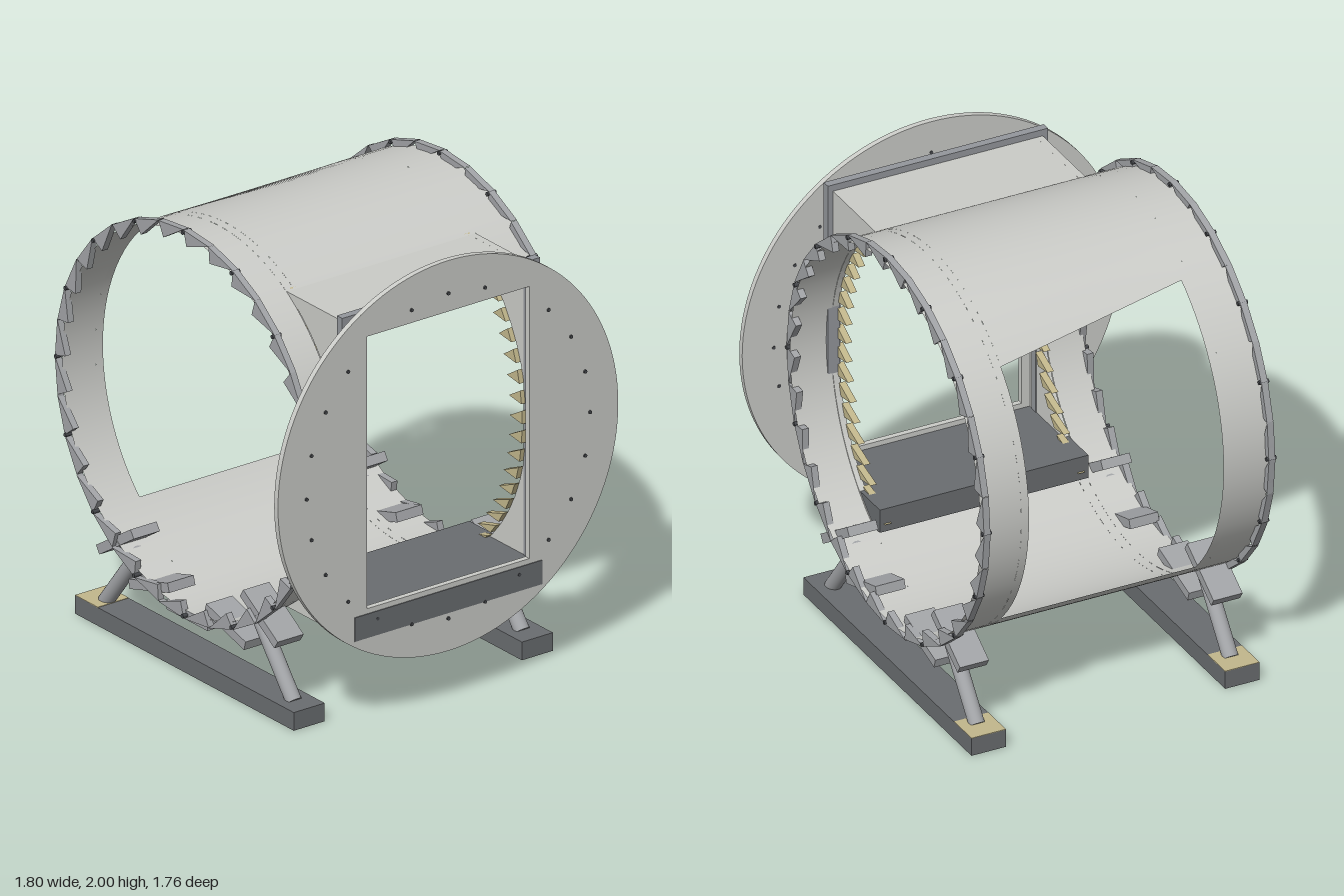
import * as THREE from 'three';
import { mergeGeometries } from 'three/addons/utils/BufferGeometryUtils.js';

const CX = -0.02, CY = 1.12, R = 0.845;
const rad = THREE.MathUtils.degToRad;

export function createModel() {
  const model = new THREE.Group();
  const mat = (name, color, side = THREE.FrontSide) =>
    Object.assign(new THREE.MeshStandardMaterial({ color, side }), { name });
  const pale = mat('pale grey', 0xcbccc8, THREE.DoubleSide);
  const mid = mat('mid grey', 0xa2a4a7, THREE.DoubleSide);
  const steel = mat('blue grey', 0x94979c);
  const dark = mat('dark grey', 0x6a6d70);
  const black = mat('bolt grey', 0x46484c);
  const khaki = mat('khaki', 0xc2b78c, THREE.DoubleSide);

  const add = (name, geometry, material, parent = model) => {
    const m = new THREE.Mesh(geometry, material);
    m.name = name;
    parent.add(m);
    return m;
  };
  // box from its min and max corners
  const box = (name, x0, x1, y0, y1, z0, z1, material) => {
    const m = add(name, new THREE.BoxGeometry(x1 - x0, y1 - y0, z1 - z0), material);
    m.position.set((x0 + x1) / 2, (y0 + y1) / 2, (z0 + z1) / 2);
    return m;
  };
  const prism = (points, depth) => {
    const s = new THREE.Shape(points.map(p => new THREE.Vector2(p[0], p[1])));
    return new THREE.ExtrudeGeometry(s, { depth, bevelEnabled: false });
  };

  // curved sheet: angle limits in degrees at each end of the z span
  const sheet = (z0, z1, a0, a1, b0 = a0, b1 = a1) => {
    const n = 64, pos = [], nor = [], idx = [];
    for (let j = 0; j < 2; j++) for (let i = 0; i <= n; i++) {
      const a = rad(j ? b0 + (b1 - b0) * i / n : a0 + (a1 - a0) * i / n);
      pos.push(CX + R * Math.cos(a), CY + R * Math.sin(a), j ? z1 : z0);
      nor.push(Math.cos(a), Math.sin(a), 0);
    }
    for (let i = 0; i < n; i++) {
      const k = i + n + 1;
      idx.push(i, i + 1, k + 1, i, k + 1, k);
    }
    const g = new THREE.BufferGeometry();
    g.setAttribute('position', new THREE.Float32BufferAttribute(pos, 3));
    g.setAttribute('normal', new THREE.Float32BufferAttribute(nor, 3));
    g.setIndex(idx);
    return g;
  };

  // drum with a doorway on the left and a slanted opening on the right
  const D = 57.2;
  add('drumShell', mergeGeometries([
    sheet(-0.68, -0.49, 0, 360),
    sheet(-0.49, -0.455, D, 360 - D),
    sheet(-0.455, 0.45, D, 134.8, D, 123.8),
    sheet(-0.455, 0.45, 225.2, 360 - D),
    sheet(0.45, 0.49, D, 360 - D),
    sheet(0.49, 0.66, 0, 360),
  ]), pale);
  const hoop = add('frontHoop', new THREE.CylinderGeometry(0.872, 0.872, 0.03, 96, 1, true), mid);
  hoop.rotation.x = Math.PI / 2;
  hoop.position.set(CX, CY, 0.66);

  // saw teeth and bolts around both drum ends
  const toothGeo = prism([[0, 0.875], [0.02, 0.805], [0.17, 0.86]], 0.03);
  const boltGeo = new THREE.CylinderGeometry(0.009, 0.009, 0.045, 10).rotateX(Math.PI / 2);
  for (const [label, z] of [['front', 0.66], ['back', -0.665]]) {
    const ring = new THREE.Group();
    ring.name = label + 'Rim';
    ring.position.set(CX, CY, z);
    model.add(ring);
    for (let i = 0; i < 32; i++) {
      const t = add('rimTooth', toothGeo, mid, ring);
      t.rotation.z = i * Math.PI / 16;
      t.position.z = -0.015;
    }
    for (let i = 0; i < 16; i++) {
      const a = i * Math.PI / 8;
      add('rimBolt', boltGeo, black, ring).position.set(0.865 * Math.cos(a), 0.865 * Math.sin(a), 0);
    }
  }

  // doorway duct: side walls cut to the drum, roof and floor
  const wall = [[0.87, 0.41], [0.87, 1.83]];
  for (let i = 0; i <= 32; i++) {
    const a = rad(D - 2 * D * i / 32);
    wall.push([CX + R * Math.cos(a), CY + R * Math.sin(a)]);
  }
  for (const z of [-0.488, 0.458]) add('ductWall', prism(wall, 0.03), pale).position.z = z;
  box('ductRoof', 0.4, 0.87, 1.775, 1.83, -0.488, 0.488, pale);
  box('ductFloor', 0.4, 0.898, 0.412, 0.52, -0.485, 0.485, dark);

  // khaki teeth along the seam of drum and duct
  for (const z of [-0.465, 0.435]) {
    for (let i = 0; i < 19; i++) {
      const a = rad(-54 + i * 6), b = a + 0.07;
      const at = t => [CX + R * Math.cos(t), CY + R * Math.sin(t)];
      const p = at(a), q = at(b);
      add('seamTooth', prism([p, q, [p[0] - 0.085, p[1] + 0.012]], 0.03), khaki).position.z = z;
    }
  }

  // plate in the yz plane with a rectangular hole, facing +x
  const plate = (name, outline, hz, y0, y1, x0, x1, material) => {
    const h = new THREE.Path([[-hz, y0], [-hz, y1], [hz, y1], [hz, y0]].map(p => new THREE.Vector2(...p)));
    outline.holes.push(h);
    const g = new THREE.ExtrudeGeometry(outline, { depth: x1 - x0, bevelEnabled: false, curveSegments: 64 });
    add(name, g.rotateY(Math.PI / 2), material).position.x = x0;
  };
  const frame = new THREE.Shape([[-0.512, 0.412], [0.512, 0.412], [0.512, 1.86], [-0.512, 1.86]]
    .map(p => new THREE.Vector2(...p)));
  plate('doorFrame', frame, 0.455, 0.515, 1.78, 0.81, 0.847, steel);
  const disc = new THREE.Shape();
  disc.absarc(0, CY, 0.88, 0, Math.PI * 2);
  plate('doorDisc', disc, 0.42, 0.543, 1.77, 0.868, 0.894, pale);

  // bolts on the disc, leaving out the two that fall in the doorway
  const studGeo = new THREE.CylinderGeometry(0.008, 0.008, 0.034, 10).rotateZ(Math.PI / 2);
  for (let i = 0; i < 24; i++) {
    if (i === 4 || i === 8) continue;
    const a = rad(i * 15);
    add('discBolt', studGeo, black).position.set(0.883, CY + 0.733 * Math.sin(a), 0.733 * Math.cos(a));
  }

  // supports: beam, end plate, slanted legs and cradle pads
  const padGeo = new THREE.BoxGeometry(0.28, 0.042, 0.135);
  const up = new THREE.Vector3(0, 1, 0);
  for (const z of [-0.59, 0.59]) {
    box('baseBeam', -0.765, 0.725, 0, 0.082, z - 0.08, z + 0.08, dark);
    box('beamEndPlate', -0.765, -0.61, 0.081, 0.084, z - 0.08, z + 0.08, khaki);
    for (const s of [-1, 1]) {
      const foot = new THREE.Vector3(CX + s * 0.64, 0.075, z);
      const head = new THREE.Vector3(CX + s * 0.405, 0.375, z);
      const dir = head.clone().sub(foot);
      const leg = add('leg', new THREE.CylinderGeometry(0.034, 0.034, dir.length(), 24), mid);
      leg.position.copy(foot).add(head).multiplyScalar(0.5);
      leg.quaternion.setFromUnitVectors(up, dir.normalize());
    }
    for (const [x, y, tilt] of [[-0.49, 0.41, 33], [-0.26, 0.293, 16], [0, 0.253, 0], [0.26, 0.293, -16], [0.49, 0.41, -33]]) {
      const pad = add('cradlePad', padGeo, mid);
      pad.position.set(CX + x, y, z);
      pad.rotation.z = rad(tilt);
    }
  }
  return model;
}
